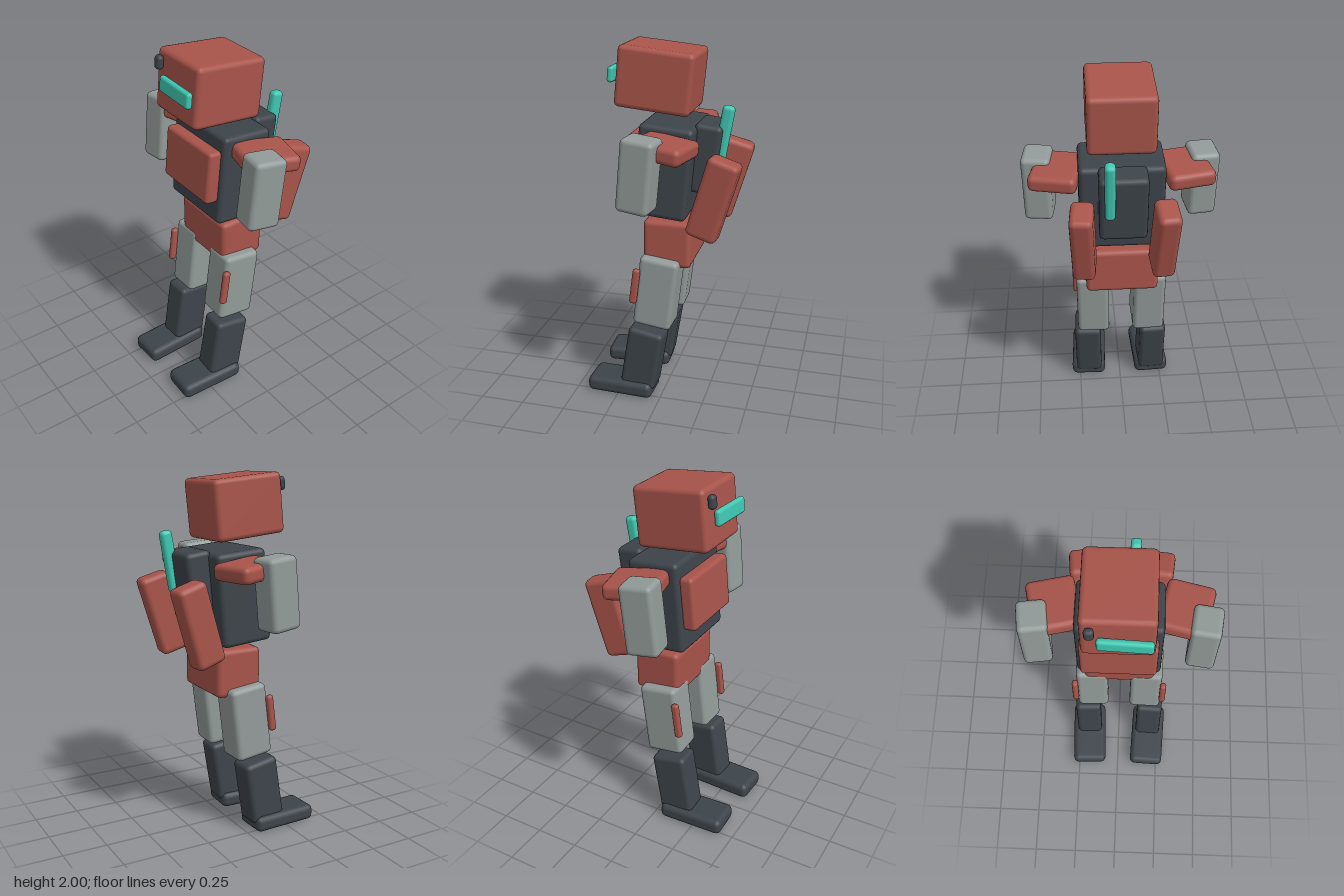
import * as THREE from 'three';
import { RoundedBoxGeometry } from 'three/addons/geometries/RoundedBoxGeometry.js';

function paint(name, color) {
  const m = new THREE.MeshStandardMaterial({ color });
  m.name = name;
  return m;
}

export function createModel() {
  const model = new THREE.Group();
  model.name = 'robot';

  const red = paint('brickRed', 0xa8544a);
  const dark = paint('charcoal', 0x3d444a);
  const grey = paint('steelGrey', 0x929b99);
  const teal = paint('teal', 0x3fc8b2);

  // Rounded block: size [w, h, d], centre [x, y, z], pitch about x, yaw about y
  function block(name, mat, size, pos, pitch = 0, yaw = 0, radius = 0.027) {
    const r = Math.min(radius, Math.min(...size) * 0.49);
    const mesh = new THREE.Mesh(new RoundedBoxGeometry(...size, 2, r), mat);
    mesh.name = name;
    mesh.position.set(...pos);
    mesh.rotation.set(pitch, yaw, 0, 'YXZ');
    model.add(mesh);
    return mesh;
  }

  // The same block on both sides, mirrored in x
  function pair(name, mat, size, [x, y, z], pitch, yaw, radius) {
    block('left' + name, mat, size, [x, y, z], pitch, yaw, radius);
    block('right' + name, mat, size, [-x, y, z], pitch, -yaw, radius);
  }

  // Head with visor and side sensor
  block('head', red, [0.36, 0.325, 0.41], [0, 1.82, 0.05], -0.1);
  block('visor', teal, [0.27, 0.085, 0.035], [0.035, 1.843, 0.28], -0.1, -0.04, 0.016);
  block('sensor', dark, [0.05, 0.075, 0.04], [-0.13, 1.938, 0.265], -0.1, 0, 0.02);

  // Body
  block('torso', dark, [0.455, 0.505, 0.295], [0, 1.345, -0.008], -0.09);
  block('chestPlate', red, [0.405, 0.295, 0.08], [0, 1.387, 0.167], -0.1, 0, 0.022);
  block('backpack', dark, [0.255, 0.38, 0.15], [0, 1.405, -0.21], -0.13);
  block('antenna', teal, [0.056, 0.34, 0.066], [0.072, 1.527, -0.305], -0.17, 0, 0.022);
  block('hips', red, [0.4, 0.265, 0.265], [0, 0.933, -0.025]);
  pair('BackFin', red, [0.122, 0.455, 0.175], [0.213, 1.225, -0.285], -0.29, -0.1, 0.03);

  // Arms
  pair('Shoulder', red, [0.255, 0.09, 0.295], [0.336, 1.515, -0.048], -0.1, -0.23, 0.03);
  pair('Forearm', grey, [0.155, 0.385, 0.18], [0.438, 1.4, 0.053], -0.1, -0.13);

  // Legs
  pair('Thigh', grey, [0.185, 0.415, 0.22], [0.16, 0.652, 0.027], -0.12, -0.03);
  pair('ThighPlate', red, [0.036, 0.21, 0.042], [0.258, 0.697, 0.14], -0.13, -0.03, 0.016);
  pair('Shin', dark, [0.155, 0.365, 0.205], [0.192, 0.24, 0.106], -0.16, -0.04);
  pair('Foot', dark, [0.205, 0.09, 0.385], [0.19, 0.046, 0.235], 0, -0.04, 0.032);

  return model;
}
